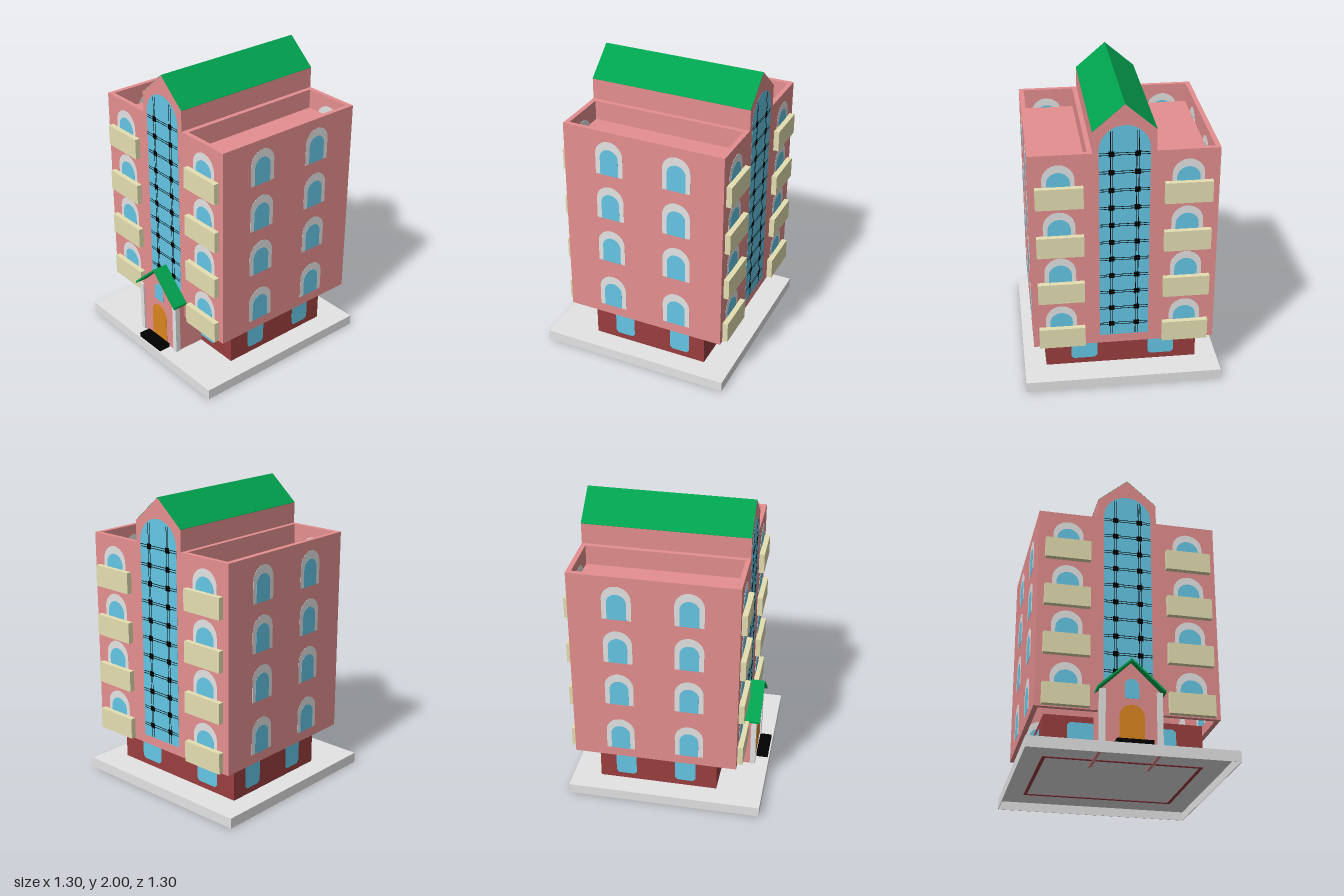
import * as THREE from 'three';

const mat = (name, color) => {
  const m = new THREE.MeshStandardMaterial({ color });
  m.name = name;
  return m;
};

export function createModel() {
  const pink = mat('pink wall', 0xe58f8f), red = mat('dark red brick', 0x9b3e3e);
  const green = mat('green roof', 0x00a34f), blue = mat('blue glass', 0x65c7e6);
  const cream = mat('cream balcony', 0xe5dfb2), grey = mat('light grey stone', 0xe4e4e4);
  const black = mat('black metal', 0x000000), wood = mat('orange door', 0xdc8620);
  const root = new THREE.Group();

  const add = (name, geo, material, x = 0, y = 0, z = 0) => {
    const m = new THREE.Mesh(geo, material);
    m.name = name;
    m.position.set(x, y, z);
    root.add(m);
    return m;
  };
  // box given by its limits on each axis
  const box = (name, material, x0, x1, y0, y1, z0, z1) =>
    add(name, new THREE.BoxGeometry(x1 - x0, y1 - y0, z1 - z0), material,
      (x0 + x1) / 2, (y0 + y1) / 2, (z0 + z1) / 2);
  const poly = (pts) => new THREE.Shape(pts.map(([a, b]) => new THREE.Vector2(a, b)));
  const rect = (x0, x1, y0, y1) => poly([[x0, y0], [x1, y0], [x1, y1], [x0, y1]]);
  const extrude = (shape, depth) =>
    new THREE.ExtrudeGeometry(shape, { depth, bevelEnabled: false, curveSegments: 10 });
  // z-y section swept along x
  const sweepX = (name, material, pts, x0, x1) =>
    add(name, extrude(poly(pts), x1 - x0).rotateY(Math.PI / 2), material, x0);
  // rectangular ring lying flat
  const ring = (name, material, x0, x1, z0, z1, t, y0, y1) => {
    const s = rect(x0, x1, -z1, -z0);
    s.holes.push(rect(x0 + t, x1 - t, -z1 + t, -z0 - t));
    return add(name, extrude(s, y1 - y0).rotateX(-Math.PI / 2), material, 0, y0);
  };
  const chevron = (w, y0, y1, t) => [[-w, y0], [-w, y0 - t], [0, y1 - t], [w, y0 - t], [w, y0], [0, y1]];

  // arched outline standing on y = 0
  const arch = (w, h) => {
    const r = w / 2, s = new THREE.Shape();
    s.moveTo(-r, 0);
    s.lineTo(r, 0);
    s.lineTo(r, h - r);
    s.absarc(0, h - r, r, 0, Math.PI, false);
    s.closePath();
    return s;
  };
  // rectangle with softened corners standing on y = 0
  const softRect = (w, h, r = 0.018) => {
    const a = w / 2;
    return poly([[-a + r, 0], [a - r, 0], [a, r], [a, h - r], [a - r, h], [-a + r, h], [-a, h - r], [-a, r]]);
  };
  // thin plate set into a wall, standing out by lift; dir is the outward direction
  const plate = (name, shape, material, dir, wall, u, y, lift = 0.001) => {
    const sign = dir[0] === '+' ? 1 : -1;
    const onX = dir[1] === 'x';
    const back = wall - sign * lift * 3;
    const m = add(name, extrude(shape, lift * 4), material, onX ? back : u, y, onX ? u : back);
    m.rotation.y = onX ? sign * Math.PI / 2 : (sign > 0 ? 0 : Math.PI);
    return m;
  };

  const X0 = -0.48, X1 = 0.605, Z = 0.587, TOP = 1.69, DECK = 1.56, WALL = 0.031;
  const UNDER = 0.058; // underside of the ground slab inside its skirt

  // ground slab with a hollow underside, and ground floor
  box('baseSlab', grey, -0.65, 0.65, UNDER, 0.07, -0.65, 0.65);
  ring('baseSkirt', grey, -0.65, 0.65, -0.65, 0.65, 0.004, 0, UNDER);
  box('groundFloor', red, -0.34, 0.46, 0.07, 0.33, -0.505, 0.505);
  ring('foundationRing', red, -0.34, 0.46, -0.505, 0.505, 0.022, UNDER - 0.003, 0.065);

  // hollow tower walls, roof deck and the parapets around its two halves
  ring('towerWalls', pink, X0, X1, -Z, Z, WALL, 0.325, DECK);
  box('roofDeck', pink, X0 + 0.01, X1 - 0.01, DECK - 0.02, DECK, -Z + 0.01, Z - 0.01);
  ring('frontParapet', pink, X0, X1, 0.195, Z, WALL, DECK, TOP);
  ring('backParapet', pink, X0, X1, -Z, -0.195, WALL, DECK, TOP);

  // gabled spine and its roof
  sweepX('gableSpine', pink, [[-0.195, DECK], [0.195, DECK], [0.195, 1.829], [0, 1.998], [-0.195, 1.829]], X0, X1);
  sweepX('mainRoof', green, chevron(0.196, 1.83, 2, 0.002), X0, X1);

  // arched windows, shown on both faces of the wall
  const floors = [0.39, 0.745, 1.07, 1.39];
  const archedWindow = (dir, wall, u, y, w, gw, gh) => {
    const s = dir[0] === '+' ? 1 : -1;
    const inward = (s > 0 ? '-' : '+') + dir[1];
    for (const [d, at] of [[dir, wall], [inward, wall - s * WALL]]) {
      plate('windowSurround', arch(w, 0.235), grey, d, at, u, y);
      plate('windowGlass', arch(gw, gh), blue, d, at, u, y, 0.002);
    }
  };
  for (const y of floors) {
    for (const x of [-0.165, 0.292]) {
      archedWindow('+z', Z, x, y, 0.188, 0.125, 0.18);
      archedWindow('-z', -Z, x, y, 0.188, 0.125, 0.18);
    }
  }

  // side walls: windows, balconies and the tall glazed stair window
  for (const [dir, wall, s] of [['+x', X1, 1], ['-x', X0, -1]]) {
    floors.forEach((y, i) => {
      for (const z of [0.405, -0.393]) {
        archedWindow(dir, wall, z, y, 0.2, 0.145, 0.185);
        const b = 0.333 + i * 0.336;
        const zc = Math.sign(z) * 0.3985 + 0.003;
        box('balcony', cream, Math.min(wall, wall + s * 0.036), Math.max(wall, wall + s * 0.036),
          b, b + 0.14, zc - 0.148, zc + 0.148);
      }
    });
    plate('stairGlass', arch(0.315, 1.48), blue, dir, wall, 0, 0.385);
    for (const z of [-0.08, 0.08]) {
      for (const d of [-0.007, 0.007]) {
        plate('mullion', rect(-0.002, 0.002, 0, 1.44), black, dir, wall, z + d, 0.39, 0.0014);
      }
    }
    for (let i = 0; i < 11; i++) {
      const y = 0.47 + i * 0.121;
      for (const d of [-0.007, 0.007]) {
        plate('glazingBar', rect(-0.155, 0.155, -0.002, 0.002), black, dir, wall, 0, y + d, 0.0014);
      }
      for (const z of [-0.08, 0.08]) {
        plate('barJoint', rect(-0.018, 0.018, -0.018, 0.018), black, dir, wall, z, y, 0.002);
      }
    }
  }

  // ground floor windows
  for (const x of [-0.125, 0.28]) {
    plate('groundWindow', softRect(0.14, 0.18), blue, '+z', 0.505, x, 0.11);
    plate('groundWindow', softRect(0.14, 0.18), blue, '-z', -0.505, x, 0.11);
  }
  for (const z of [0.248, -0.268]) {
    plate('groundWindow', softRect(0.175, 0.18), blue, '+x', 0.46, z, 0.11);
    plate('groundWindow', softRect(0.175, 0.18), blue, '-x', -0.34, z, 0.11);
  }

  // entrance porch
  sweepX('porchBody', pink, [[-0.19, 0.07], [0.19, 0.07], [0.19, 0.44], [0, 0.625], [-0.19, 0.44]], -0.55, -0.34);
  sweepX('porchRoof', green, chevron(0.213, 0.448, 0.645, 0.016), -0.585, X0);
  for (const s of [-1, 1]) {
    box('porchPillar', grey, -0.56, -0.525, 0.07, 0.44, s * 0.178 - 0.018, s * 0.178 + 0.018);
    box('porchFooting', pink, -0.55, -0.2, UNDER - 0.004, 0.065, s * 0.185 - 0.011, s * 0.185 + 0.011);
    box('porchFrontFooting', pink, -0.56, -0.538, UNDER - 0.004, 0.065, s * 0.136 - 0.06, s * 0.136 + 0.06);
  }
  plate('door', arch(0.155, 0.28), wood, '-x', -0.55, 0.005, 0.07, 0.002);
  plate('porchWindow', arch(0.09, 0.13), blue, '-x', -0.55, 0.005, 0.39, 0.002);
  box('doorStep', black, -0.64, -0.56, 0.07, 0.1, -0.108, 0.117);
  ring('stepFooting', black, -0.64, -0.565, -0.108, 0.117, 0.018, UNDER - 0.003, 0.065);
  box('doorSill', wood, -0.565, -0.545, UNDER - 0.003, 0.065, -0.07, 0.08);

  return root;
}
